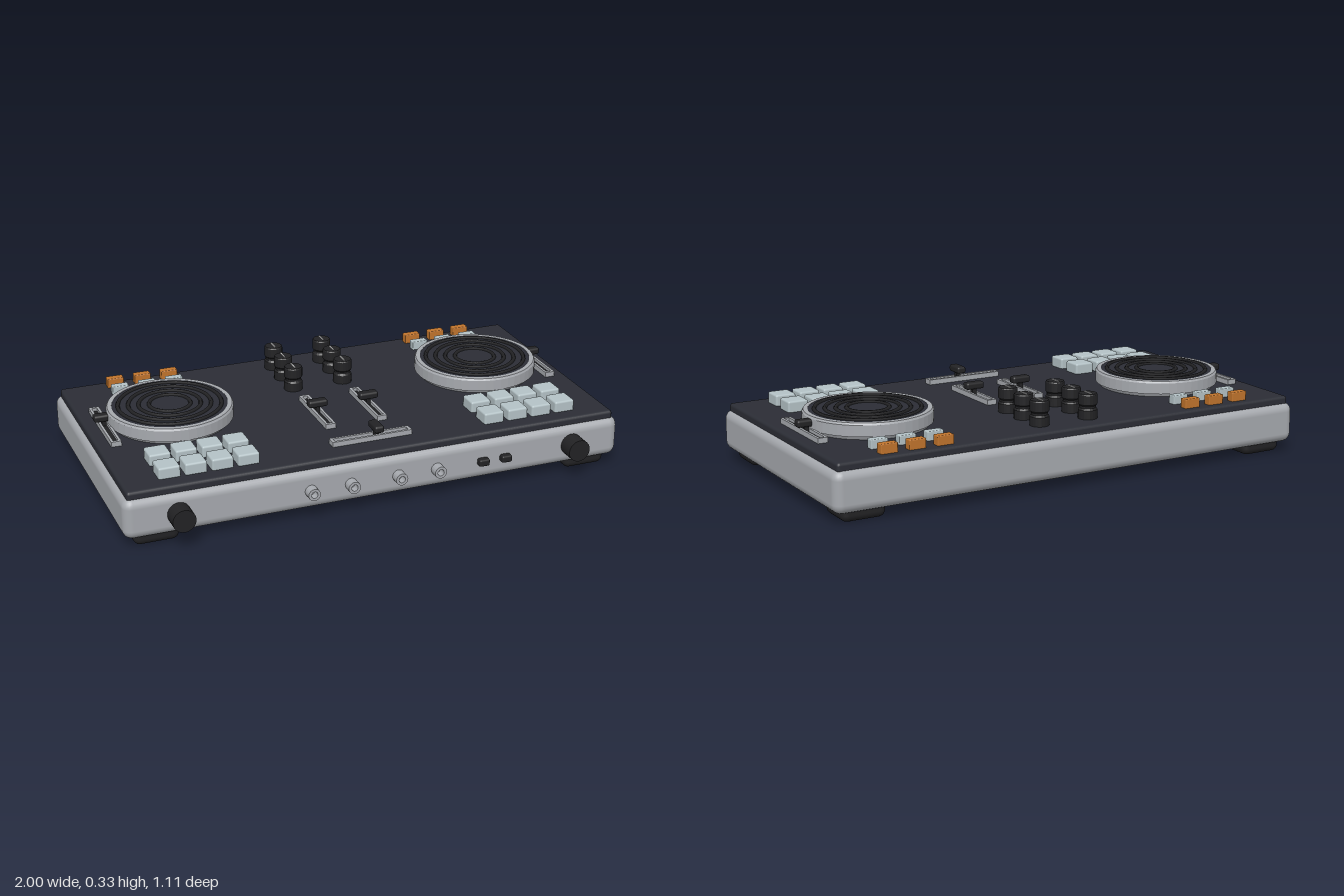
import * as THREE from 'three';
import { RoundedBoxGeometry } from 'three/addons/geometries/RoundedBoxGeometry.js';

const mat = (color, opts = {}) => new THREE.MeshStandardMaterial({ color, ...opts });
const SILVER = mat(0xa6a9ae), PLATE = mat(0x2b2d35), BLACK = mat(0x222224);
const PAD = mat(0xb4c2c6), ORANGE = mat(0xc0742c), MARK = mat(0xdddddd);
const DECK = 0.225; // height of the control surface

export function createModel() {
  const model = new THREE.Group();

  const add = (name, geometry, material, x, y, z, parent = model) => {
    const mesh = new THREE.Mesh(geometry, material);
    mesh.name = name;
    mesh.position.set(x, y, z);
    parent.add(mesh);
    return mesh;
  };
  const rbox = (w, h, d, r, s = 2) => new RoundedBoxGeometry(w, h, d, s, r);
  const lathe = (pts, n = 32) =>
    new THREE.LatheGeometry(pts.map(([r, y]) => new THREE.Vector2(r, y)), n);

  // Case, control surface and feet
  add('case', rbox(2, 0.16, 1.043, 0.036, 3), SILVER, 0, 0.12, -0.034);
  add('controlSurface', rbox(1.96, 0.045, 1.003, 0.012), PLATE, 0, DECK - 0.0225, -0.034);
  const footGeo = rbox(0.172, 0.07, 0.158, 0.026, 3);
  for (const x of [-0.872, 0.872])
    for (const z of [-0.445, 0.382]) add('foot', footGeo, BLACK, x, 0.035, z);

  // Jog wheels: silver rim around a dark disc with raised rings
  const rimGeo = lathe([[0.23, 0], [0.236, 0.012], [0.246, 0.014], [0.246, 0.057],
    [0.241, 0.065], [0.224, 0.065], [0.222, 0.05]], 48);
  const discGeo = new THREE.CylinderGeometry(0.224, 0.224, 0.062, 48);
  const ringGeos = [0.2, 0.16, 0.12, 0.08].map((r) =>
    new THREE.TorusGeometry(r, 0.008, 6, 48).rotateX(Math.PI / 2));
  for (const side of [-1, 1]) {
    const wheel = new THREE.Group();
    wheel.name = 'jogWheel';
    wheel.position.set(side * 0.65, DECK, -0.096);
    add('rim', rimGeo, mat(0xa6a9ae, { side: THREE.DoubleSide, flatShading: true }), 0, 0, 0, wheel);
    add('disc', discGeo, PLATE, 0, 0.033, 0, wheel);
    for (const g of ringGeos) add('discRing', g, BLACK, 0, 0.064, 0, wheel);
    model.add(wheel);
  }

  // Performance pads and small buttons
  const padGeo = rbox(0.083, 0.05, 0.083, 0.008);
  const buttonGeo = rbox(0.067, 0.045, 0.035, 0.004);
  for (const side of [-1, 1]) {
    for (let i = 0; i < 4; i++)
      for (const z of [0.245, 0.363])
        add('pad', padGeo, PAD, side * (0.498 + i * 0.101), DECK + 0.018, z);
    for (let i = 0; i < 3; i++) {
      const x = side * (0.54 + i * 0.112);
      add('cueButton', buttonGeo, ORANGE, x, DECK + 0.014, -0.488);
      add('modeButton', buttonGeo, PAD, x, DECK + 0.012, -0.41);
    }
  }

  // Mixer knobs with pointer marks
  const knobGeo = lathe([[0.037, 0], [0.037, 0.035], [0.032, 0.042], [0.032, 0.05],
    [0.037, 0.056], [0.037, 0.092], [0.034, 0.097], [0, 0.097]], 20);
  const knobMat = mat(0x222224, { flatShading: true });
  const markGeo = new THREE.BoxGeometry(0.006, 0.005, 0.045);
  for (const x of [-0.106, 0.106])
    for (const z of [-0.43, -0.313, -0.195]) {
      add('mixerKnob', knobGeo, knobMat, x, DECK, z);
      add('knobMark', markGeo, MARK, x, DECK + 0.098, z - 0.002);
    }

  // Faders: slotted frame, dark slot, stem and cap; offset places the cap along the slot
  const addFader = (name, x, z, length, offset, turn = 0, capTop = 0.062) => {
    const fader = new THREE.Group();
    fader.name = name;
    const rect = (path, w, l) => path.moveTo(-w, -l).lineTo(w, -l).lineTo(w, l).lineTo(-w, l).closePath();
    const frame = rect(new THREE.Shape(), 0.02, length / 2);
    frame.holes.push(rect(new THREE.Path(), 0.01, length / 2 - 0.012));
    const frameGeo = new THREE.ExtrudeGeometry(frame, { depth: 0.02, bevelEnabled: false });
    add('frame', frameGeo.rotateX(-Math.PI / 2), SILVER, 0, 0, 0, fader);
    add('slot', new THREE.BoxGeometry(0.02, 0.008, length - 0.024), BLACK, 0, 0.004, 0, fader);
    add('stem', new THREE.BoxGeometry(0.018, 0.04, 0.018), BLACK, 0, 0.02, offset, fader);
    add('cap', rbox(0.078, 0.028, 0.038, 0.009), BLACK, 0, capTop - 0.014, offset, fader);
    fader.position.set(x, DECK, z);
    fader.rotation.y = turn;
    model.add(fader);
  };
  for (const side of [-1, 1]) {
    addFader('channelFader', side * 0.106, 0.074, 0.295, 0);
    addFader('pitchFader', side * 0.91, -0.094, 0.34, -0.018, 0, 0.056);
  }
  addFader('crossfader', 0, 0.361, 0.322, 0.022, Math.PI / 2);

  // Front panel: knobs, hollow sockets and two switches
  const dialGeo = new THREE.CylinderGeometry(0.044, 0.044, 0.09, 24).rotateX(Math.PI / 2);
  for (const x of [-0.796, 0.792]) add('frontKnob', dialGeo, BLACK, x, 0.121, 0.511);
  const socketGeo = lathe([[0.024, 0], [0.024, 0.045], [0.013, 0.045], [0.013, 0.012], [0, 0.012]], 20)
    .rotateX(Math.PI / 2);
  const socketMat = mat(0xa6a9ae, { side: THREE.DoubleSide, flatShading: true });
  for (const x of [-0.289, -0.13, 0.061, 0.22]) add('socket', socketGeo, socketMat, x, 0.117, 0.48);
  const switchGeo = rbox(0.043, 0.028, 0.05, 0.007);
  for (const x of [0.41, 0.505]) add('frontSwitch', switchGeo, BLACK, x, 0.117, 0.488);

  return model;
}
